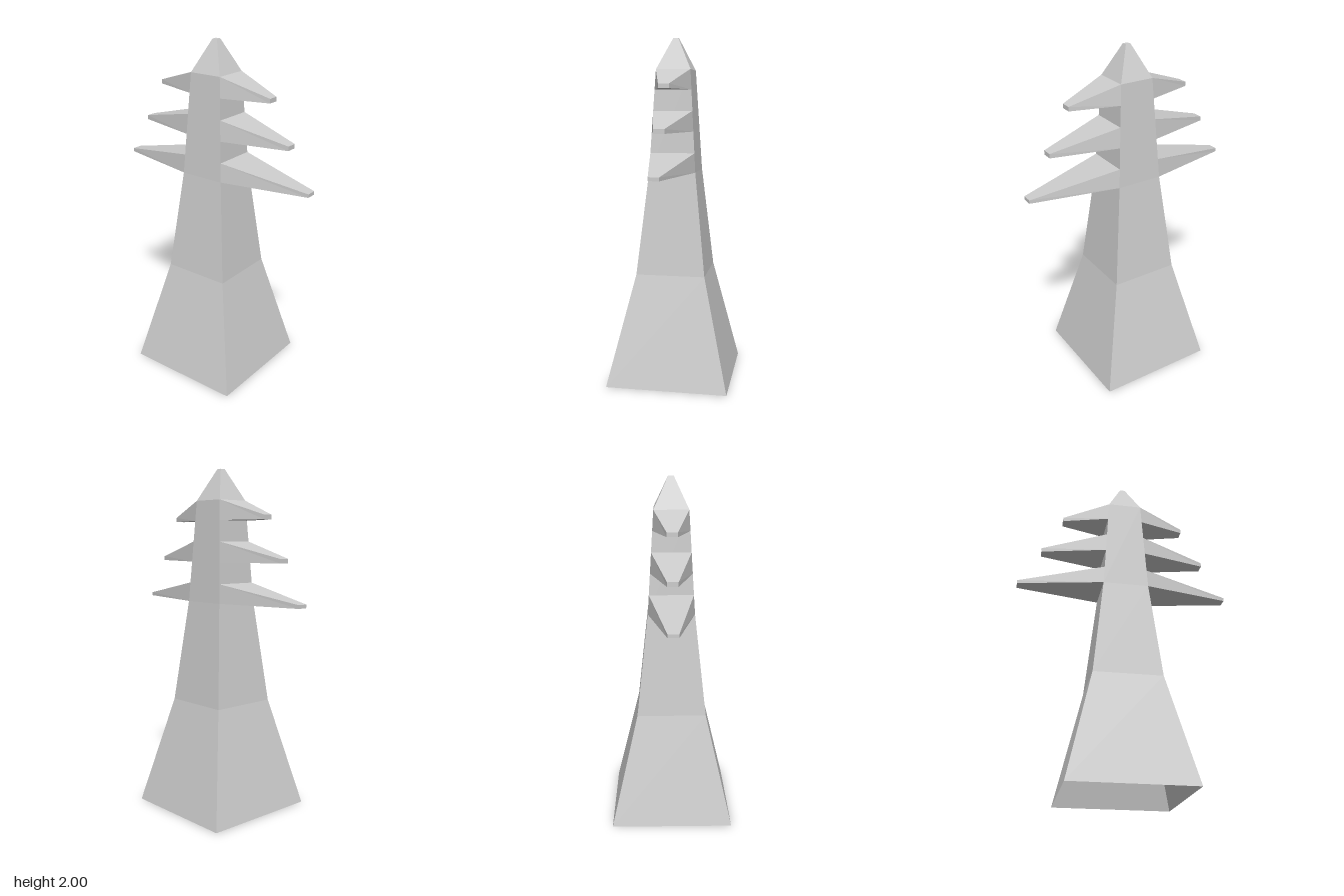
import * as THREE from 'three';

// Tower profile: [height, half width]
const PROFILE = [[0, 0.35], [0.64, 0.2], [1.235, 0.135], [1.82, 0.1], [2, 0.015]];

// Half width of the tower at height y
function halfWidth(y) {
  for (let i = 1; i < PROFILE.length; i++) {
    const [y0, w0] = PROFILE[i - 1], [y1, w1] = PROFILE[i];
    if (y <= y1) return THREE.MathUtils.mapLinear(y, y0, y1, w0, w1);
  }
  return 0;
}

// Skin four-cornered rings in sequence and cap the last one; the first stays open
function loft(rings) {
  const pos = [];
  const tri = (...corners) => corners.forEach((c) => pos.push(...c));
  for (let r = 0; r < rings.length - 1; r++) {
    const a = rings[r], b = rings[r + 1];
    for (let i = 0; i < 4; i++) {
      const j = (i + 1) % 4;
      tri(a[i], a[j], b[j]);
      tri(a[i], b[j], b[i]);
    }
  }
  const [p, q, s, t] = rings[rings.length - 1];
  tri(p, q, s);
  tri(p, s, t);
  const geometry = new THREE.BufferGeometry();
  geometry.setAttribute('position', new THREE.Float32BufferAttribute(pos, 3));
  geometry.computeVertexNormals();
  return geometry;
}

// Tapered arm growing from the tower side towards +x, flat underneath
function armGeometry(low, high, tipTop, reach) {
  const a = halfWidth(low), b = halfWidth(high), tip = 0.03;
  return loft([
    [[a, low, -a], [b, high, -b], [b, high, b], [a, low, a]],
    [[reach, low, -tip], [reach, tipTop, -tip], [reach, tipTop, tip], [reach, low, tip]],
  ]);
}

export function createModel() {
  const model = new THREE.Group();
  model.name = 'pylon';
  const material = new THREE.MeshStandardMaterial({
    color: 0xcccccc, flatShading: true, side: THREE.DoubleSide,
  });

  // Square tapering body, open underneath
  const body = new THREE.Mesh(
    loft(PROFILE.map(([y, w]) => [[w, y, w], [w, y, -w], [-w, y, -w], [-w, y, w]])),
    material,
  );
  body.name = 'towerBody';
  model.add(body);

  // Three pairs of arms: underside, root top, tip top, reach
  const tiers = [
    ['lower', 1.235, 1.345, 1.255, 0.64],
    ['middle', 1.468, 1.585, 1.493, 0.505],
    ['upper', 1.705, 1.82, 1.73, 0.38],
  ];
  for (const [tier, ...dims] of tiers) {
    const geometry = armGeometry(...dims);
    for (const side of ['Left', 'Right']) {
      const arm = new THREE.Mesh(geometry, material);
      arm.name = `${tier}Arm${side}`;
      if (side === 'Right') arm.rotation.y = Math.PI;
      model.add(arm);
    }
  }
  return model;
}
